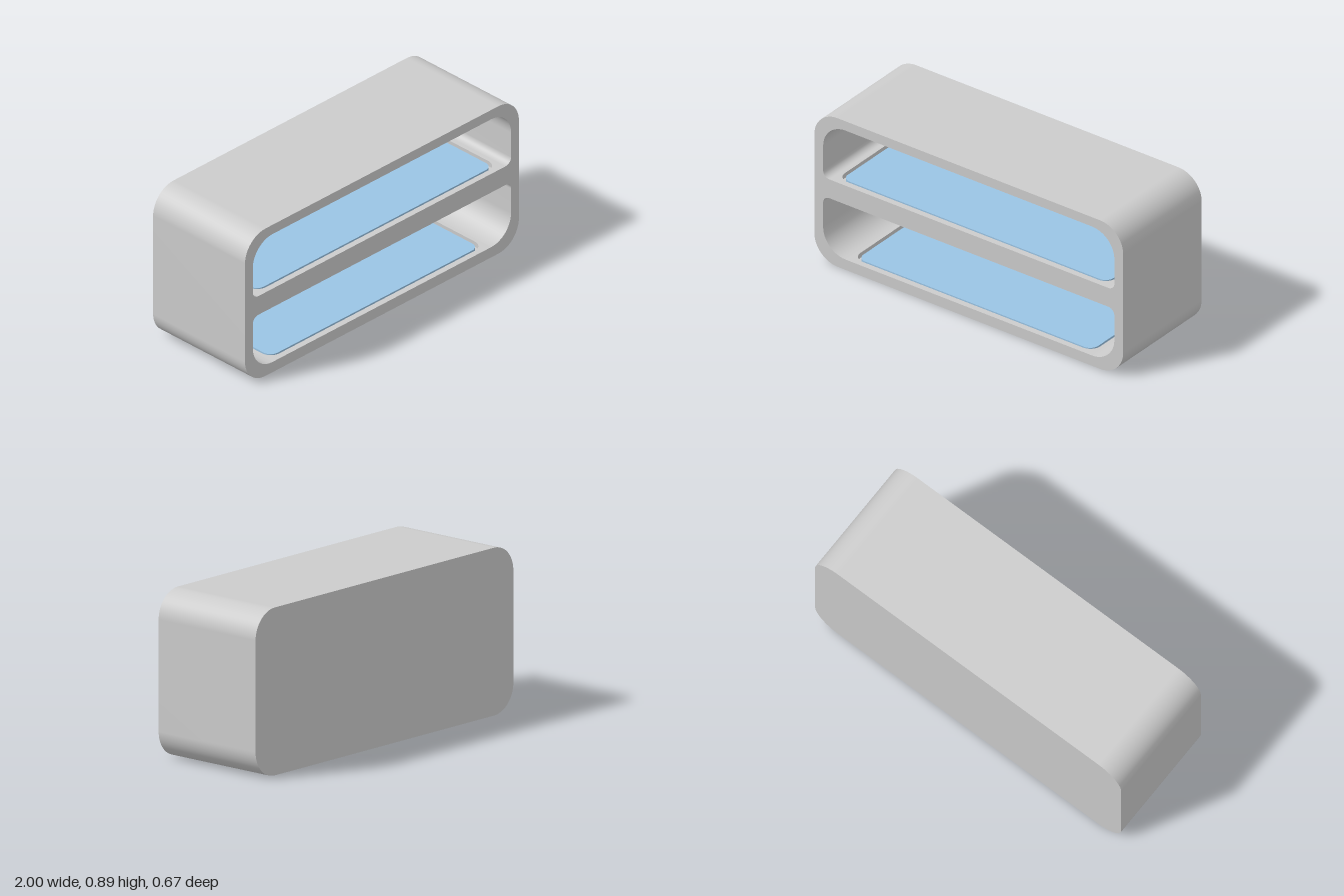
import * as THREE from 'three';

const FRONT = 0.335, BACK = -0.335, CAVITY_BACK = -0.22;

const grey = new THREE.MeshStandardMaterial({ color: 0xcccccc });
const blue = new THREE.MeshStandardMaterial({ color: 0x9ac4e4 });

// Counter-clockwise rounded outline from the middle of its bottom edge,
// with separate radii for the bottom and top corners.
function outline(halfWidth, y0, y1, rBottom, rTop = rBottom) {
  const points = [new THREE.Vector2(0, y0)];
  const corners = [
    [halfWidth - rBottom, y0 + rBottom, rBottom, -0.5],
    [halfWidth - rTop, y1 - rTop, rTop, 0],
    [rTop - halfWidth, y1 - rTop, rTop, 0.5],
    [rBottom - halfWidth, y0 + rBottom, rBottom, 1],
  ];
  for (const [cx, cy, r, start] of corners) {
    for (let i = 0; i <= 12; i++) {
      const a = (start + i / 24) * Math.PI;
      points.push(new THREE.Vector2(cx + r * Math.cos(a), cy + r * Math.sin(a)));
    }
  }
  points.push(new THREE.Vector2(0, y0));
  return points;
}

// Smooth wall swept along z; it faces outward, or inward for reversed points.
function wall(points, z0, z1) {
  const positions = [], indices = [];
  points.forEach((p, i) => {
    positions.push(p.x, p.y, z0, p.x, p.y, z1);
    if (i < points.length - 1) {
      const a = 2 * i;
      indices.push(a, a + 2, a + 3, a, a + 3, a + 1);
    }
  });
  const geometry = new THREE.BufferGeometry();
  geometry.setAttribute('position', new THREE.Float32BufferAttribute(positions, 3));
  geometry.setIndex(indices);
  geometry.computeVertexNormals();
  return geometry;
}

// Flat face looking toward +z
function face(points, holes = []) {
  const shape = new THREE.Shape(points.slice(0, -1));
  shape.holes = holes.map((h) => new THREE.Path(h.slice(0, -1)));
  return new THREE.ShapeGeometry(shape);
}

function add(parent, name, geometry, material = grey) {
  const mesh = new THREE.Mesh(geometry, material);
  mesh.name = name;
  parent.add(mesh);
  return mesh;
}

// One open compartment with a pad sunk into its floor
function compartment(name, opening, floorY, floorHalf, padHalf) {
  const group = new THREE.Group();
  group.name = name;
  add(group, 'compartmentWalls', wall(opening.slice(1, -1).reverse(), CAVITY_BACK, FRONT));
  add(group, 'compartmentBack', face(opening)).position.z = CAVITY_BACK;

  // Floor parts are drawn flat and laid down, so drawn y becomes -z
  const floor = new THREE.Group();
  floor.name = 'floor';
  floor.rotation.x = -Math.PI / 2;
  floor.position.y = floorY;
  group.add(floor);

  const depth = 0.03, gap = 0.017;
  const recess = outline(padHalf + gap, -0.3, 0.187, 0.065);
  const pad = outline(padHalf, -0.3 + gap, 0.187 - gap, 0.05);
  const edge = [
    [-floorHalf, -FRONT], [floorHalf, -FRONT], [floorHalf, -CAVITY_BACK],
    [-floorHalf, -CAVITY_BACK], [-floorHalf, -FRONT],
  ].map(([x, y]) => new THREE.Vector2(x, y));

  add(floor, 'floorPanel', face(edge, [recess]));
  add(floor, 'recessWalls', wall([...recess].reverse(), -depth, 0));
  add(floor, 'recessBottom', face(recess)).position.z = -depth;
  add(floor, 'padSides', wall(pad, -depth, -0.005), blue);
  add(floor, 'padTop', face(pad), blue).position.z = -0.005;
  return group;
}

export function createModel() {
  const model = new THREE.Group();
  model.name = 'twoTierShelfBox';

  const body = outline(1, 0, 0.893, 0.15);
  const upper = outline(0.943, 0.506, 0.837, 0.04, 0.145);
  const lower = outline(0.943, 0.062, 0.393, 0.145, 0.04);

  // Outer casing
  add(model, 'casing', wall(body, BACK, FRONT));
  add(model, 'frontFrame', face(body, [upper, lower])).position.z = FRONT;
  const back = add(model, 'backPanel', face(body));
  back.position.z = BACK;
  back.rotation.y = Math.PI;

  // Compartments
  model.add(compartment('upperCompartment', upper, 0.506, 0.903, 0.86));
  model.add(compartment('lowerCompartment', lower, 0.062, 0.798, 0.76));
  return model;
}
